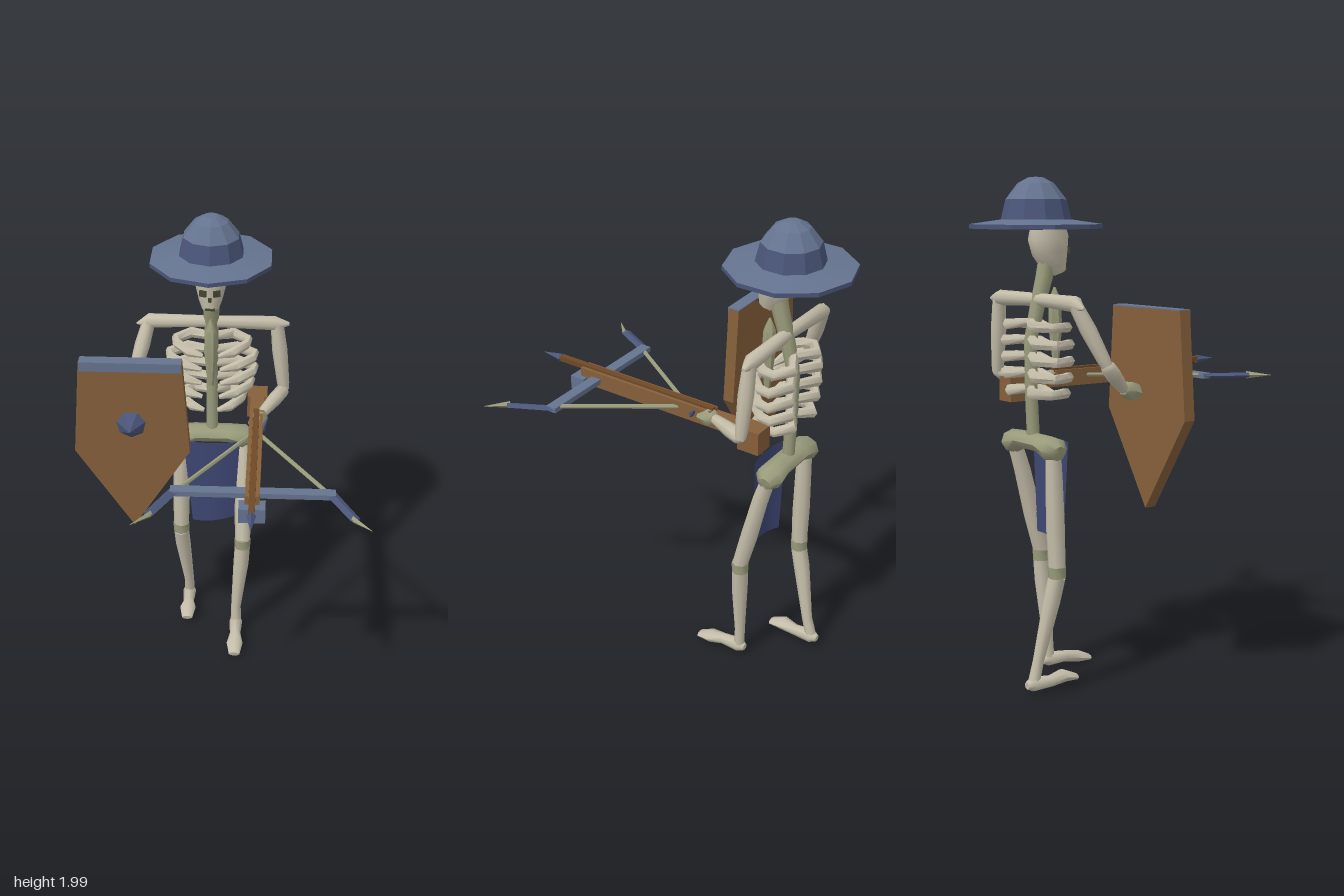
import * as THREE from 'three';
import { toCreasedNormals } from 'three/addons/utils/BufferGeometryUtils.js';

const paint = (name, color, extra = {}) => {
  const m = new THREE.MeshStandardMaterial({ color, ...extra });
  m.name = name;
  return m;
};

export function createModel() {
  const model = new THREE.Group();
  model.name = 'skeletonGuard';
  const bone = paint('bone', 0xc4bda9);
  const oldBone = paint('oldBone', 0x999b7b);
  const hollow = paint('hollow', 0x45452f);
  const steel = paint('steel', 0x64738f);
  const darkSteel = paint('darkSteel', 0x4a5578);
  const wood = paint('wood', 0x855f3a);
  const darkWood = paint('darkWood', 0x6e4926);
  const cloth = paint('cloth', 0x3d4672, { side: THREE.DoubleSide });

  const add = (name, geo, mat, parent = model) => {
    const mesh = new THREE.Mesh(geo, mat);
    mesh.name = name;
    parent.add(mesh);
    return mesh;
  };
  const group = (name) => {
    const g = new THREE.Group();
    g.name = name;
    model.add(g);
    return g;
  };
  const box = (name, x0, x1, y0, y1, z0, z1, mat, parent) => {
    const m = add(name, new THREE.BoxGeometry(x1 - x0, y1 - y0, z1 - z0), mat, parent);
    m.position.set((x0 + x1) / 2, (y0 + y1) / 2, (z0 + z1) / 2);
    return m;
  };

  // Capped tube through [x, y, z, radius, side stretch] sections
  const limb = (name, pts, mat, parent, sides = 8, crease = 1) => {
    const P = pts.map((p) => new THREE.Vector3(p[0], p[1], p[2]));
    const n = P.length;
    const rings = [[0, 0], ...pts.map((p, i) => [i, p[3]]), [n - 1, 0]];
    const axis = P[n - 1].clone().sub(P[0]).normalize();
    const ref = Math.abs(axis.z) > 0.75 ? new THREE.Vector3(0, 1, 0) : new THREE.Vector3(0, 0, 1);
    const pos = [], idx = [];
    rings.forEach(([i, r], k) => {
      const d = P[Math.min(i + 1, n - 1)].clone().sub(P[Math.max(i - 1, 0)]).normalize();
      const u = d.clone().cross(ref).normalize();
      const v = d.clone().cross(u);
      for (let j = 0; j < sides; j++) {
        const t = (j / sides) * Math.PI * 2;
        const q = P[i].clone().addScaledVector(u, Math.cos(t) * r * (pts[i][4] ?? 1)).addScaledVector(v, Math.sin(t) * r);
        pos.push(q.x, q.y, q.z);
        if (k === rings.length - 1) continue;
        const a = k * sides + j, b = k * sides + (j + 1) % sides;
        if (k > 0) idx.push(a, b, a + sides);
        if (k < rings.length - 2) idx.push(b, b + sides, a + sides);
      }
    });
    const g = new THREE.BufferGeometry();
    g.setAttribute('position', new THREE.Float32BufferAttribute(pos, 3));
    g.setIndex(idx);
    return add(name, toCreasedNormals(g, crease), mat, parent);
  };

  // Wide-brimmed ten-sided helmet
  const hat = group('hat');
  const turned = (name, profile, mat) => {
    const g = new THREE.LatheGeometry(profile.map(([r, y]) => new THREE.Vector2(r, y)), 10);
    const m = add(name, toCreasedNormals(g, 0.2), mat, hat);
    m.position.set(-0.05, 0, -0.405);
  };
  turned('hatBrimUnderside', [[0, 1.8], [0.255, 1.805], [0.255, 1.822]], darkSteel);
  turned('hatBrim', [[0.255, 1.822], [0.13, 1.84]], steel);
  turned('hatBand', [[0.135, 1.838], [0.116, 1.915]], darkSteel);
  turned('hatDome', [[0.116, 1.915], [0.07, 1.975], [0.03, 1.997], [0, 2]], steel);

  // Skull with painted face
  const head = group('head');
  limb('skull', [[-0.05, 1.635, -0.312, 0.04, 0.85], [-0.05, 1.67, -0.325, 0.056, 0.85],
    [-0.05, 1.72, -0.342, 0.076, 0.8], [-0.05, 1.77, -0.35, 0.085, 0.77], [-0.05, 1.82, -0.352, 0.07, 0.85]], bone, head, 10);
  for (const s of [-1, 1]) {
    const eye = box('eyeSocket', -0.014, 0.014, -0.013, 0.013, -0.004, 0.004, hollow, head);
    eye.position.set(-0.05 + s * 0.028, 1.72, -0.273);
    eye.rotation.y = s * 0.4;
  }
  box('noseHole', -0.056, -0.044, 1.685, 1.703, -0.272, -0.265, hollow, head);
  box('mouth', -0.07, -0.03, 1.645, 1.653, -0.278, -0.27, hollow, head);

  // Spine, breastbone, shoulders and pelvis
  const torso = group('torso');
  limb('spine', [[-0.05, 1.72, -0.35, 0.035], [-0.05, 1.62, -0.37, 0.034], [-0.05, 1.52, -0.4, 0.03],
    [-0.05, 1.38, -0.435, 0.026], [-0.05, 1.2, -0.435, 0.025], [-0.05, 0.98, -0.425, 0.026]], oldBone, torso);
  limb('breastbone', [[-0.05, 1.58, -0.322, 0.004], [-0.05, 1.53, -0.322, 0.024],
    [-0.05, 1.43, -0.32, 0.027], [-0.05, 1.28, -0.318, 0.012]], oldBone, torso, 6);
  limb('shoulderBar', [[-0.36, 1.515, -0.405, 0.004], [-0.31, 1.53, -0.405, 0.031], [-0.05, 1.535, -0.4, 0.025],
    [0.21, 1.53, -0.405, 0.031], [0.27, 1.525, -0.41, 0.008]], bone, torso);
  limb('pelvis', [[-0.225, 0.96, -0.425, 0.03], [-0.19, 0.97, -0.425, 0.06, 0.8], [-0.12, 0.985, -0.425, 0.052, 0.7],
    [0.02, 0.985, -0.425, 0.052, 0.7], [0.09, 0.97, -0.425, 0.06, 0.8], [0.125, 0.96, -0.425, 0.03]], oldBone, torso);

  // Five pairs of ribs
  const widths = [0.16, 0.19, 0.19, 0.175, 0.14];
  for (const s of [-1, 1]) widths.forEach((w, i) => {
    const y = 1.435 - i * 0.064;
    const x = (k) => -0.05 + s * w * k;
    limb('rib', [[x(0.03), y + 0.015, -0.435, 0.018], [x(0.55), y + 0.005, -0.482, 0.023], [x(0.95), y, -0.435, 0.02],
      [x(0.9), y, -0.39, 0.02], [x(0.55), y - 0.005, -0.325, 0.021], [x(0.2), y - 0.015, -0.31, 0.009]], bone, torso, 6);
  });

  // Legs, left one stepping forward
  const leg = (side, hipX, kneeX, footX, kneeZ, ankleZ, toeY) => {
    const g = group(side + 'Leg');
    limb('thigh', [[hipX, 0.97, -0.425, 0.03], [hipX, 0.85, -0.425 + (kneeZ + 0.425) * 0.3, 0.034],
      [(hipX + kneeX) / 2, 0.66, -0.425 + (kneeZ + 0.425) * 0.68, 0.037], [kneeX, 0.51, kneeZ, 0.034]], bone, g);
    limb('knee', [[kneeX, 0.512, kneeZ, 0.036], [kneeX, 0.468, kneeZ, 0.035]], oldBone, g);
    limb('shin', [[kneeX, 0.47, kneeZ, 0.034], [kneeX * 0.8 + footX * 0.2, 0.38, kneeZ * 0.78 + ankleZ * 0.22, 0.034],
      [footX, 0.14, kneeZ * 0.25 + ankleZ * 0.75, 0.022], [footX, 0.05, ankleZ, 0.024]], bone, g);
    limb('foot', [[footX, 0.05, ankleZ - 0.03, 0.015], [footX, 0.052, ankleZ, 0.03], [footX, 0.048, ankleZ + 0.08, 0.024],
      [footX, toeY + 0.015, ankleZ + 0.14, 0.025, 1.45], [footX, toeY, ankleZ + 0.2, 0.012, 2]], bone, g);
  };
  leg('left', 0.09, 0.09, 0.064, -0.3, -0.285, 0.022);
  leg('right', -0.185, -0.19, -0.163, -0.415, -0.51, 0.044);

  // Arms
  const arm = (side, shoulder, elbow, wrist, hand) => {
    const g = group(side + 'Arm');
    const mix = (a, b, t) => a.map((v, i) => v + (b[i] - v) * t);
    limb('upperArm', [[...shoulder, 0.027], [...mix(shoulder, elbow, 0.4), 0.032], [...mix(shoulder, elbow, 0.9), 0.026],
      [...elbow, 0.022]], bone, g);
    limb('forearm', [[...mix(elbow, wrist, -0.08), 0.01], [...mix(elbow, wrist, 0.06), 0.029], [...mix(elbow, wrist, 0.4), 0.03],
      [...wrist, 0.021]], bone, g);
    limb('hand', [[...wrist, 0.024], [...mix(wrist, hand, 0.4), 0.038], [...hand, 0.036]], oldBone, g, 6);
  };
  arm('left', [0.22, 1.525, -0.405], [0.255, 1.225, -0.395], [0.165, 1.205, -0.22], [0.145, 1.195, -0.15]);
  arm('right', [-0.31, 1.525, -0.405], [-0.375, 1.3, -0.31], [-0.32, 1.2, -0.19], [-0.305, 1.18, -0.12]);

  // Curved loincloth
  const flap = new THREE.PlaneGeometry(1, 1, 8, 5);
  const fp = flap.attributes.position;
  for (let i = 0; i < fp.count; i++) {
    const u = fp.getX(i) + 0.5, t = 0.5 - fp.getY(i);
    const left = -0.17 + 0.037 * t, right = 0.073 - 0.023 * t;
    fp.setXYZ(i, left + (right - left) * u, 0.99 - t * (0.415 - 0.025 * u), -0.325 - 0.08 * (u - 0.5) ** 2);
  }
  flap.computeVertexNormals();
  add('loincloth', flap, cloth);

  // Pointed shield with metal rim strip and boss
  const shield = group('shield');
  const plate = (name, pts, depth, z, mat) => {
    const shape = new THREE.Shape(pts.map(([x, y]) => new THREE.Vector2(x, y)));
    add(name, new THREE.ExtrudeGeometry(shape, { depth, bevelEnabled: false }), mat, shield).position.z = z;
  };
  plate('shieldBoard', [[-0.563, 1.508], [-0.595, 1.1], [-0.36, 0.735], [-0.123, 1.105], [-0.152, 1.508]], 0.048, -0.115, wood);
  box('shieldRimFront', -0.561, -0.153, 1.472, 1.512, -0.067, -0.063, steel, shield);
  box('shieldRimTop', -0.561, -0.153, 1.506, 1.512, -0.115, -0.065, steel, shield);
  const boss = add('shieldBoss', toCreasedNormals(new THREE.ConeGeometry(0.062, 0.068, 7), 0.2), darkSteel, shield);
  boss.rotation.x = Math.PI / 2;
  boss.position.set(-0.36, 1.23, -0.034);

  // Crossbow stock
  const bow = group('crossbow');
  const cx = 0.145;
  box('stock', cx - 0.028, cx + 0.028, 1.165, 1.218, -0.35, 0.435, wood, bow);
  box('butt', cx - 0.042, cx + 0.042, 1.122, 1.218, -0.43, -0.335, wood, bow);
  for (const s of [-1, 1]) box('rail', cx + s * 0.021 - 0.007, cx + s * 0.021 + 0.007, 1.215, 1.232, -0.2, 0.435, wood, bow);
  box('stirrup', cx - 0.051, cx + 0.051, 1.135, 1.195, 0.405, 0.47, steel, bow);

  // Loaded bolt
  box('boltShaft', cx - 0.012, cx + 0.012, 1.218, 1.24, -0.2, 0.56, darkWood, bow);
  const tip = add('boltHead', toCreasedNormals(new THREE.ConeGeometry(0.019, 0.1, 4), 0.2), darkSteel, bow);
  tip.rotation.x = Math.PI / 2;
  tip.position.set(cx, 1.228, 0.606);

  // Bow limbs, spikes and string
  box('bowBar', cx - 0.315, cx + 0.315, 1.187, 1.208, 0.335, 0.38, steel, bow);
  for (const s of [-1, 1]) {
    const x = (d) => cx + s * d;
    limb('bowLimb', [[x(0.295), 1.197, 0.345, 0.011, 2], [x(0.385), 1.197, 0.52, 0.01, 2]], darkSteel, bow, 4, 0.2);
    limb('bowSpike', [[x(0.375), 1.197, 0.515, 0.011, 1.4], [x(0.445), 1.197, 0.59, 0.001]], oldBone, bow, 4, 0.2);
    limb('bowString', [[x(0.285), 1.2, 0.35, 0.009], [x(0), 1.205, -0.08, 0.009]], oldBone, bow, 6);
  }
  limb('trigger', [[cx + 0.025, 1.19, -0.11, 0.012], [cx + 0.045, 1.23, -0.14, 0.004]], darkSteel, bow, 4);

  return model;
}
